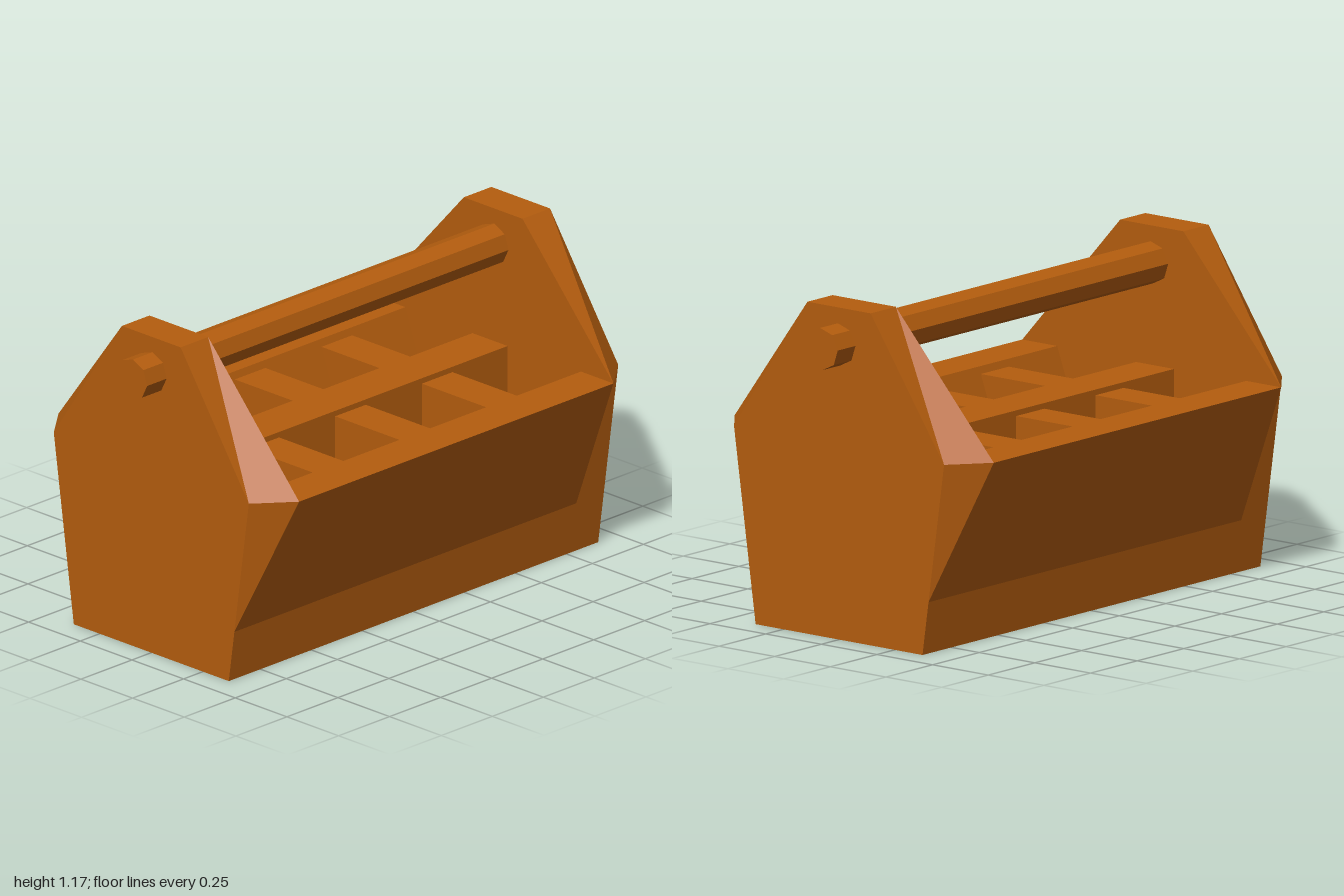
import * as THREE from 'three';

const END_IN = 0.77, END_OUT = 0.905;

// Extrudes a z-symmetric half profile of [z, y] points along x, from x0 to x1.
function prism(half, x0, x1) {
  const pts = [
    ...half.map(([z, y]) => new THREE.Vector2(z, y)),
    ...half.slice().reverse().map(([z, y]) => new THREE.Vector2(-z, y)),
  ];
  const geo = new THREE.ExtrudeGeometry(new THREE.Shape(pts), { depth: x1 - x0, bevelEnabled: false });
  return geo.rotateY(Math.PI / 2).translate(x0, 0, 0);
}

// End board: its shoulder narrows towards the outer face.
function endBoardGeometry() {
  const geo = prism([[0.375, 0], [0.402, 0.19], [0.582, 0.685], [0.142, 1.172]], END_IN, END_OUT);
  const p = geo.attributes.position;
  for (let i = 0; i < p.count; i++) {
    if (p.getX(i) > END_OUT - 0.01 && Math.abs(p.getY(i) - 0.685) < 0.01) {
      p.setZ(i, Math.sign(p.getZ(i)) * 0.472);
    }
  }
  geo.computeVertexNormals();
  return geo;
}

export function createModel() {
  const model = new THREE.Group();
  model.name = 'toolBox';
  const wood = new THREE.MeshStandardMaterial({ color: 0xb45d0e, flatShading: true });
  wood.name = 'orange brown wood';

  const add = (name, geo) => {
    const mesh = new THREE.Mesh(geo, wood);
    mesh.name = name;
    model.add(mesh);
    return mesh;
  };

  // Trough with flared thick walls and a sunken floor
  add('trough', prism(
    [[0.375, 0], [0.402, 0.19], [0.582, 0.685], [0.425, 0.685], [0.237, 0.17]],
    -END_IN, END_IN));

  // Mirrored end boards
  add('leftEndBoard', endBoardGeometry());
  add('rightEndBoard', endBoardGeometry().rotateY(Math.PI));

  // Lengthwise partition
  add('centrePartition', new THREE.BoxGeometry(END_IN * 2, 0.52, 0.17).translate(0, 0.42, -0.015));

  // Cross dividers fitted to the sloping walls
  for (const x of [-0.425, 0, 0.425]) {
    add('crossDivider', prism([[0.235, 0.16], [0.418, 0.66]], x - 0.075, x + 0.075));
  }

  // Eight-sided carrying bar through both end boards
  const bar = new THREE.CylinderGeometry(0.074, 0.074, 2, 8);
  add('handle', bar.rotateZ(Math.PI / 2).rotateX(0.07).translate(0, 1.042, 0));

  return model;
}
